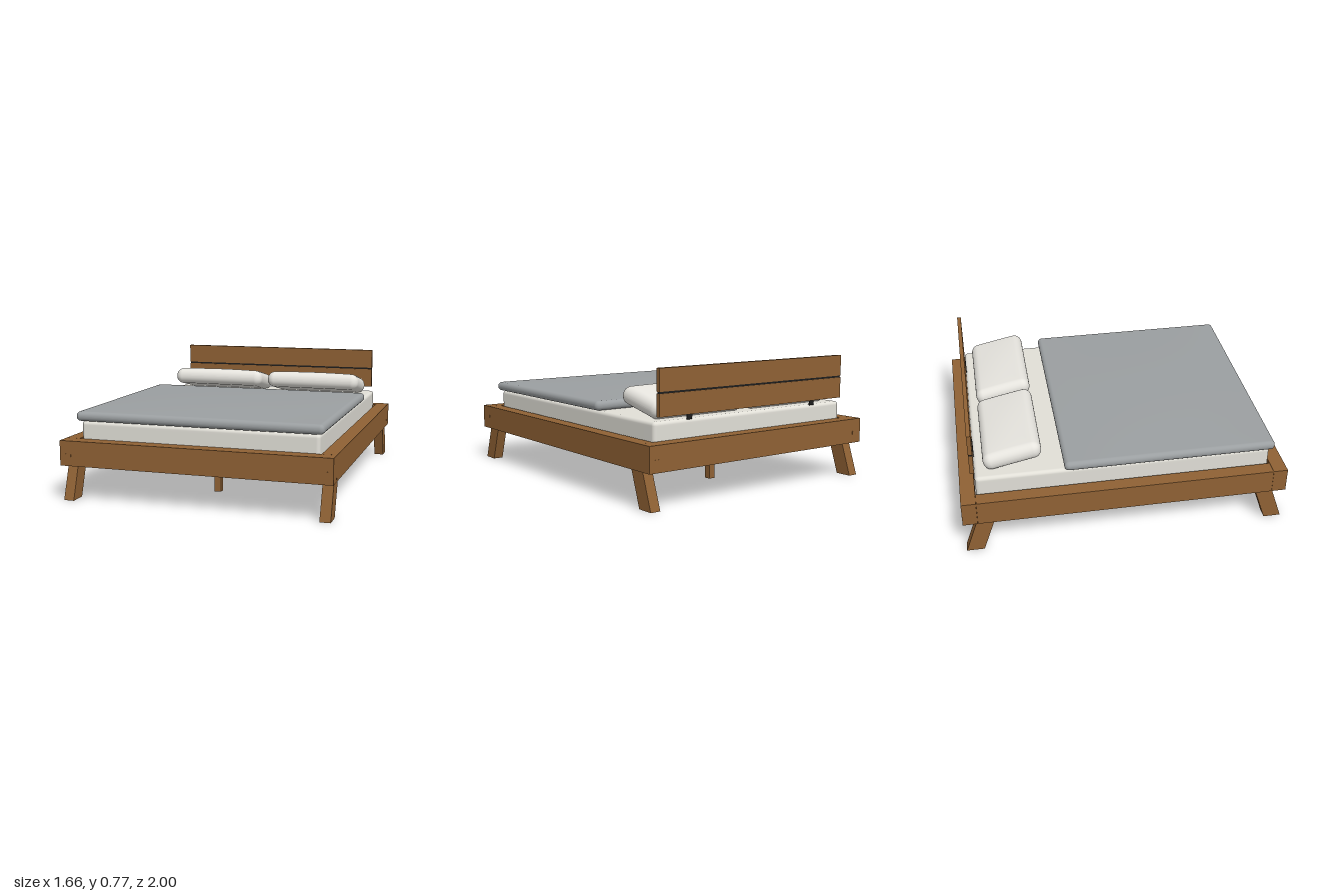
import * as THREE from 'three';
import { mergeVertices } from 'three/addons/utils/BufferGeometryUtils.js';

const wood = new THREE.MeshStandardMaterial({ name: 'wood', color: 0x8f6134 });
const mattressCloth = new THREE.MeshStandardMaterial({ name: 'mattress cloth', color: 0xe1dfd7 });
const pillowCloth = new THREE.MeshStandardMaterial({ name: 'pillow cloth', color: 0xe6e4de });
const blanketCloth = new THREE.MeshStandardMaterial({ name: 'blanket cloth', color: 0x9b9fa1 });
const darkMetal = new THREE.MeshStandardMaterial({ name: 'dark metal', color: 0x1e1e1e });

// Smooth box with rounded edges and a bulging top
function softBox(w, h, d, r, dome = 0) {
  const geo = new THREE.BoxGeometry(2, 2, 2, 20, 20, 20);
  geo.deleteAttribute('normal');
  geo.deleteAttribute('uv');
  const inner = [w / 2 - r, h / 2 - r, d / 2 - r];
  const pos = geo.attributes.position;
  for (let i = 0; i < pos.count; i++) {
    const core = [], off = [];
    [pos.getX(i), pos.getY(i), pos.getZ(i)].forEach((u, k) => {
      const a = Math.abs(u), s = Math.sign(u);
      core.push(inner[k] * s * Math.min(a / 0.6, 1));
      off.push(s * Math.tan(Math.PI / 4 * Math.max(0, (a - 0.6) / 0.4)));
    });
    const n = new THREE.Vector3(...off).normalize().multiplyScalar(r);
    const x = core[0] + n.x, y = core[1] + n.y, z = core[2] + n.z;
    const swell = (1 - (2 * x / w) ** 2) * (1 - (2 * z / d) ** 2);
    pos.setXYZ(i, x, y + swell * dome * Math.max(0, 2 * y / h), z);
  }
  const merged = mergeVertices(geo, 1e-5);
  merged.computeVertexNormals();
  return merged;
}

export function createModel() {
  const bed = new THREE.Group();
  bed.name = 'bed';

  const add = (name, geo, mat, x, y, z) => {
    const mesh = new THREE.Mesh(geo, mat);
    mesh.name = name;
    mesh.position.set(x, y, z);
    bed.add(mesh);
    return mesh;
  };
  // Box given by its limits on each axis
  const box = (name, mat, x0, x1, y0, y1, z0, z1) =>
    add(name, new THREE.BoxGeometry(x1 - x0, y1 - y0, z1 - z0), mat,
      (x0 + x1) / 2, (y0 + y1) / 2, (z0 + z1) / 2);

  // Frame rails, with a fine seam where they meet
  box('footRail', wood, -0.832, 0.832, 0.215, 0.368, 0.91, 0.999);
  box('headRail', wood, -0.832, 0.832, 0.215, 0.368, -0.999, -0.91);
  for (const s of [-1, 1]) {
    const rail = box('sideRail', wood, -0.0435, 0.0435, 0.215, 0.368, -0.909, 0.909);
    rail.position.x = s * 0.7885;
  }

  for (const sx of [-1, 1]) for (const sz of [-1, 1]) {
    // Splayed corner legs
    const geo = new THREE.BoxGeometry(0.064, 0.216, 0.107);
    const p = geo.attributes.position;
    for (let i = 0; i < p.count; i++) p.setZ(i, p.getZ(i) - sz * p.getY(i) * 0.345);
    geo.computeVertexNormals();
    add('cornerLeg', geo, wood, sx * 0.787, 0.108, sz * 0.9);
    // Joint ends showing in the foot and head rails
    add('tenonEnd', new THREE.BoxGeometry(0.055, 0.052, 0.004), wood, sx * 0.788, 0.263, sz * 0.998);
  }

  // Centre beam with its two posts
  box('centreBeam', wood, -0.03, 0.03, 0.235, 0.306, -0.909, 0.909);
  for (const z of [-0.5, 0.5]) box('centrePost', wood, -0.021, 0.021, 0, 0.236, z - 0.021, z + 0.021);

  // Headboard planks, dark spacer and brackets
  box('lowerPlank', wood, -0.715, 0.715, 0.503, 0.632, -0.928, -0.903);
  box('upperPlank', wood, -0.715, 0.715, 0.643, 0.773, -0.928, -0.903);
  box('plankSpacer', darkMetal, -0.713, 0.713, 0.631, 0.644, -0.924, -0.907);
  for (const x of [-0.485, 0.485])
    box('headboardBracket', darkMetal, x - 0.018, x + 0.018, 0.47, 0.577, -0.904, -0.897);

  // Mattress
  add('mattress', softBox(1.466, 0.17, 1.806, 0.022), mattressCloth, 0, 0.39, 0);

  // Blanket
  add('blanket', softBox(1.52, 0.058, 1.3, 0.027, 0.017), blanketCloth, 0, 0.505, 0.28);

  // Pillows, raised on the side facing the foot end
  for (const x of [-0.352, 0.352]) {
    const pillow = add('pillow', softBox(0.658, 0.108, 0.357, 0.05, 0.014), pillowCloth, x, 0.552, -0.671);
    pillow.rotation.x = -0.21;
  }

  return bed;
}
